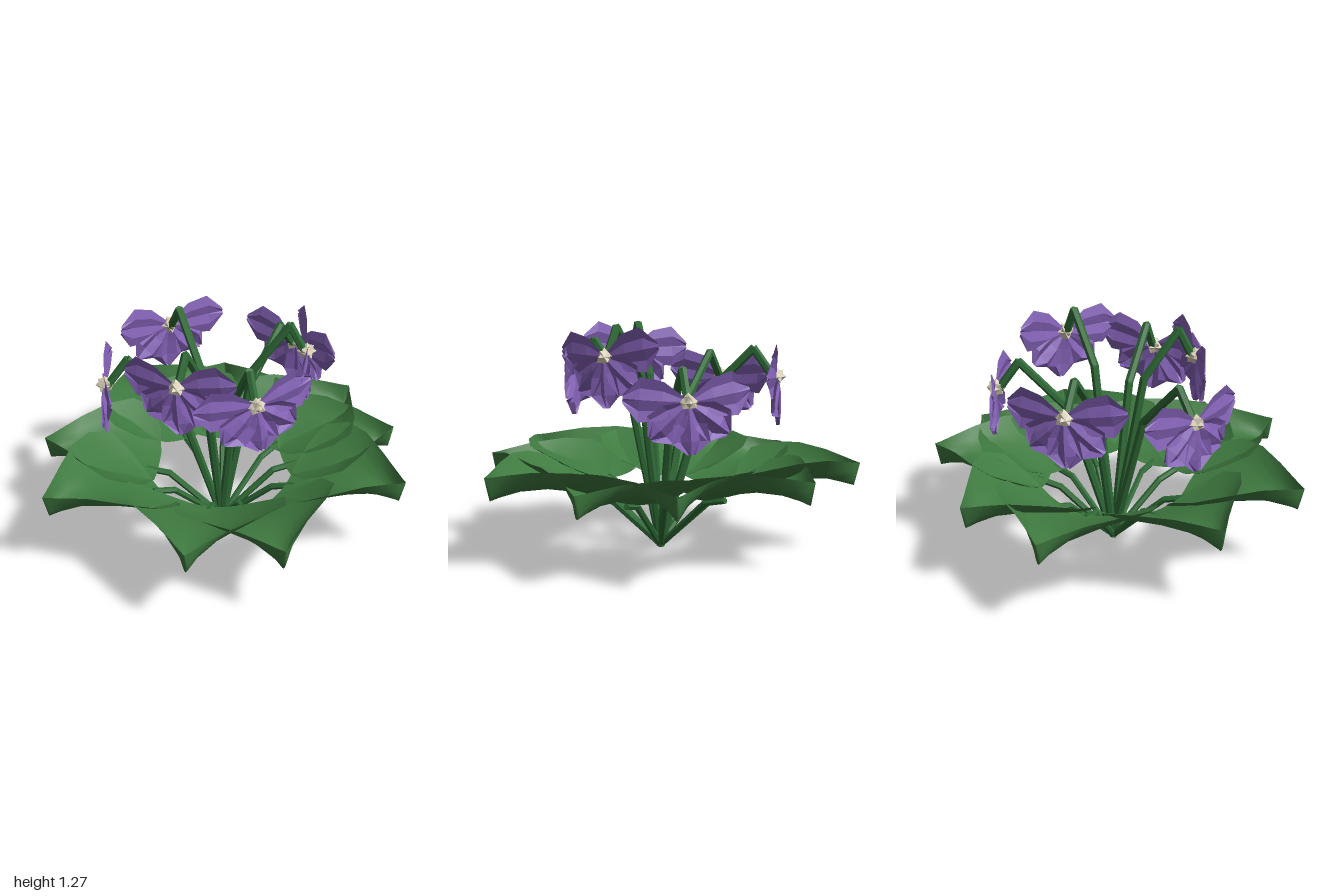
import * as THREE from 'three';

const leafMat = new THREE.MeshStandardMaterial({ name: 'leaf green', color: 0x3f7a40, side: THREE.DoubleSide });
const stemMat = new THREE.MeshStandardMaterial({ name: 'stem green', color: 0x2f6b36, flatShading: true });
const petalMat = new THREE.MeshStandardMaterial({ name: 'petal purple', color: 0x8361b5, side: THREE.DoubleSide, flatShading: true });
const creamMat = new THREE.MeshStandardMaterial({ name: 'stamen cream', color: 0xd8d0b8, flatShading: true });

const ROOT = new THREE.Vector3(-0.06, 0, -0.03);

// Sheet from rows of points; point(row, s) with s running -1..1 across
function sheet(rows, columns, point) {
  const pos = [], idx = [];
  rows.forEach((row, r) => {
    for (let c = 0; c <= columns; c++) pos.push(...point(row, (c / columns) * 2 - 1));
    if (r === 0) return;
    for (let c = 0; c < columns; c++) {
      const a = (r - 1) * (columns + 1) + c, b = a + columns + 1;
      idx.push(a, a + 1, b + 1, a, b + 1, b);
    }
  });
  const g = new THREE.BufferGeometry();
  g.setAttribute('position', new THREE.Float32BufferAttribute(pos, 3));
  g.setIndex(idx);
  g.computeVertexNormals();
  return g;
}

// Six-sided rods joined end to end along a list of points
function rods(points, radius, name) {
  const group = new THREE.Group();
  group.name = name;
  for (let i = 0; i < points.length - 1; i++) {
    const dir = points[i + 1].clone().sub(points[i]);
    const rod = new THREE.Mesh(new THREE.CylinderGeometry(radius, radius, dir.length() + radius * 0.5, 6), stemMat);
    rod.position.copy(points[i]).add(points[i + 1]).multiplyScalar(0.5);
    rod.quaternion.setFromUnitVectors(new THREE.Vector3(0, 1, 0), dir.normalize());
    rod.name = name + 'Segment';
    group.add(rod);
  }
  return group;
}

// Cupped pointed leaf; rows: distance from root, midrib height, half width, rim height
function leafGeometry() {
  const rows = [
    [0.385, 0.33, 0.14, 0.35], [0.41, 0.335, 0.30, 0.42], [0.47, 0.35, 0.42, 0.50], [0.60, 0.39, 0.44, 0.535],
    [0.74, 0.415, 0.34, 0.55], [0.88, 0.41, 0.185, 0.54], [0.97, 0.39, 0.09, 0.52], [1.03, 0.375, 0.03, 0.505],
    [1.06, 0.50, 0.001, 0.50],
  ];
  return sheet(rows, 8, ([r, mid, w, rim], s) => [r, mid + (rim - mid) * s * s, w * s]);
}

// Angular petal pointing at an angle, pleated lengthwise; the bloom bends back sideways
function petalGeometry(length, width, pleat, degrees) {
  const rows = [[0.03, 0.15], [0.4, 0.85], [0.75, 1], [1, 0.2]];
  const angle = THREE.MathUtils.degToRad(degrees), cos = Math.cos(angle), sin = Math.sin(angle);
  return sheet(rows, 4, ([u, w], s) => {
    const along = u * length, across = s * w * width;
    const x = along * cos - across * sin, y = along * sin + across * cos;
    const fold = pleat * Math.cos(s * Math.PI * 2) * Math.sin(u * Math.PI * 0.8);
    return [x, y, -0.35 * x * x + fold];
  });
}

const PETALS = [
  ['upperPetal', petalGeometry(0.33, 0.115, 0.008, 7)],
  ['upperPetal', petalGeometry(0.33, 0.115, 0.008, 173)],
  ['lowerPetal', petalGeometry(0.265, 0.1, 0.016, -40)],
  ['lowerPetal', petalGeometry(0.265, 0.1, 0.016, -140)],
  ['lowerPetal', petalGeometry(0.265, 0.1, 0.016, -90)],
];

// Flower facing +z: two broad side petals, three narrower lower ones, cream middle
function flower() {
  const group = new THREE.Group();
  PETALS.forEach(([name, geometry], i) => {
    const petal = new THREE.Mesh(geometry, petalMat);
    petal.name = name;
    petal.position.z = i * 0.003;
    group.add(petal);
  });
  // Two crossed octahedra make a spiky centre
  for (const turn of [0, Math.PI / 4]) {
    const middle = new THREE.Mesh(new THREE.OctahedronGeometry(0.052), creamMat);
    middle.name = 'flowerMiddle';
    middle.rotation.set(turn, turn, 0);
    group.add(middle);
  }
  return group;
}

export function createModel() {
  const model = new THREE.Group();
  model.name = 'floweringPlant';

  // Leaves: direction in degrees (x towards z), reach, height offset
  const leafGeo = leafGeometry();
  const leaves = [
    [-7, 1.06, 0], [43, 1.03, -0.025], [71, 1.07, 0.01], [122, 1.08, -0.005], [157, 1.01, -0.02],
    [210, 1.09, 0], [242, 0.99, -0.01], [290, 1.02, 0], [319, 1.01, -0.015],
  ];
  for (const [deg, reach, dy] of leaves) {
    const group = new THREE.Group();
    group.name = 'leafWithStalk';
    group.position.copy(ROOT);
    group.rotation.y = -THREE.MathUtils.degToRad(deg);
    const leaf = new THREE.Mesh(leafGeo, leafMat);
    leaf.name = 'leaf';
    leaf.position.y = dy;
    leaf.scale.x = reach / 1.06;
    const path = [[0, 0.015], [0.3, 0.29], [0.43, 0.33 + dy]];
    group.add(leaf, rods(path.map(([x, y]) => new THREE.Vector3(x, y, 0)), 0.018, 'leafStalk'));
    model.add(group);
  }

  // Flowers: centre, facing direction (x, z), roll
  const flowers = [
    [[-0.08, 1.07, 0.41], [0.03, 1], 0.1],
    [[0.31, 1.00, 0.27], [0.77, 0.63], 0.1],
    [[0.35, 1.10, -0.23], [0.89, -0.46], 0.1],
    [[0.07, 0.90, -0.65], [0.24, -0.97], 0.05],
    [[-0.59, 0.97, -0.37], [-0.85, -0.53], 0.05],
    [[-0.60, 0.90, 0.30], [-0.84, 0.54], 0],
  ];
  for (const [centre, facing, roll] of flowers) {
    const c = new THREE.Vector3(...centre);
    const bloom = flower();
    bloom.name = 'flower';
    bloom.position.copy(c);
    bloom.rotation.set(0, Math.atan2(facing[0], facing[1]), roll, 'YXZ');
    const along = (t, y) => new THREE.Vector3(
      ROOT.x + (c.x - ROOT.x) * t, y, ROOT.z + (c.z - ROOT.z) * t);
    const path = [along(0, 0.015), along(0.38, c.y - 0.12), along(0.8, c.y + 0.15), along(0.97, c.y)];
    model.add(bloom, rods(path, 0.023, 'flowerStem'));
  }
  return model;
}
